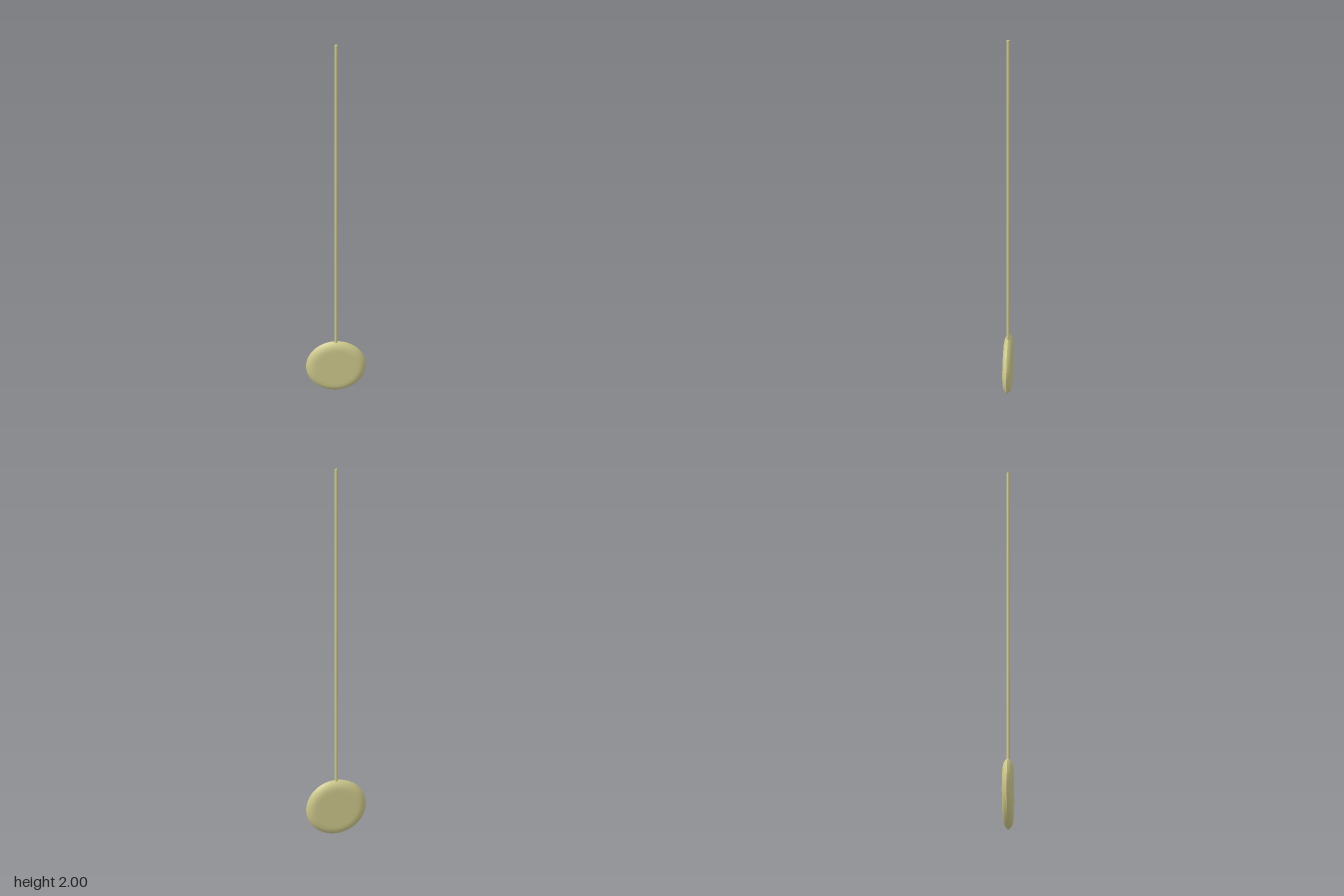
import * as THREE from 'three';

export function createModel() {
  const group = new THREE.Group();
  group.name = 'pendulum';
  const brass = new THREE.MeshStandardMaterial({ color: 0xcdc88c });
  const radius = 0.168;

  // Bob: two shallow domes meeting in a sharp rim
  const profile = [
    [radius, 0], [0.163, 0.006], [0.157, 0.012], [0.149, 0.0175],
    [0.139, 0.0218], [0.128, 0.0242], [0.115, 0.025], [0.1, 0.025], [0, 0.025],
  ].map(([r, h]) => new THREE.Vector2(r, h));
  const dome = new THREE.LatheGeometry(profile, 64);

  const bob = new THREE.Group();
  bob.name = 'bob';
  bob.position.y = radius;
  for (const [name, side] of [['bobFront', 1], ['bobBack', -1]]) {
    const half = new THREE.Mesh(dome, brass);
    half.name = name;
    half.rotation.x = side * Math.PI / 2;
    bob.add(half);
  }
  group.add(bob);

  // Rod: slim round bar sunk slightly into the bob's rim
  const bottom = 0.31;
  const rod = new THREE.Mesh(new THREE.CylinderGeometry(0.008, 0.008, 2 - bottom, 24), brass);
  rod.name = 'rod';
  rod.position.y = (2 + bottom) / 2;
  group.add(rod);

  return group;
}
